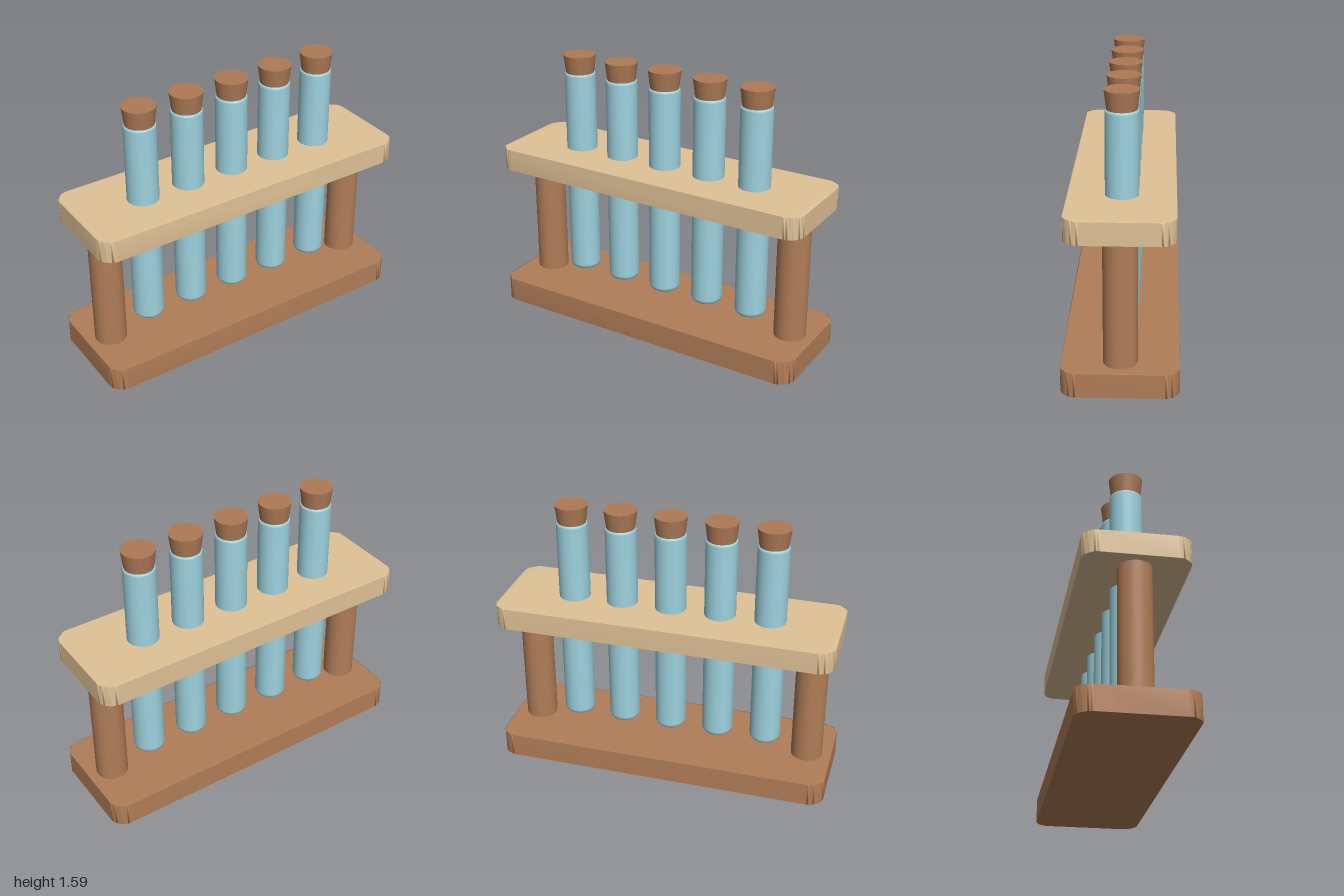
import * as THREE from 'three';
import { mergeVertices } from 'three/addons/utils/BufferGeometryUtils.js';

// Share vertices so that shading flows softly around every edge.
function soften(geometry) {
  geometry.deleteAttribute('normal');
  geometry.deleteAttribute('uv');
  const merged = mergeVertices(geometry, 1e-4);
  merged.computeVertexNormals();
  return merged;
}

// Flat board with rounded plan corners, standing on y = 0.
function boardGeometry(width, depth, height, radius) {
  const x = width / 2, z = depth / 2, r = radius;
  const plan = new THREE.Shape();
  plan.absarc(x - r, z - r, r, 0, Math.PI / 2);
  plan.absarc(-x + r, z - r, r, Math.PI / 2, Math.PI);
  plan.absarc(-x + r, -z + r, r, Math.PI, Math.PI * 1.5);
  plan.absarc(x - r, -z + r, r, Math.PI * 1.5, Math.PI * 2);
  const geometry = new THREE.ExtrudeGeometry(plan, { depth: height, bevelEnabled: false, curveSegments: 8 });
  geometry.rotateX(-Math.PI / 2);
  return soften(geometry);
}

export function createModel() {
  const wood = new THREE.MeshStandardMaterial({ name: 'brown wood', color: 0xb17e58 });
  const paleWood = new THREE.MeshStandardMaterial({ name: 'pale wood', color: 0xe0c297 });
  const glass = new THREE.MeshStandardMaterial({ name: 'blue glass', color: 0x9dd2de });
  const cork = new THREE.MeshStandardMaterial({ name: 'cork', color: 0xad7a56 });

  const rack = new THREE.Group();
  rack.name = 'testTubeRack';
  const add = (name, geometry, material, x, y) => {
    const mesh = new THREE.Mesh(geometry, material);
    mesh.name = name;
    mesh.position.set(x, y, 0);
    rack.add(mesh);
  };

  // Base, shelf and the two posts between them
  add('base', boardGeometry(2, 0.645, 0.143, 0.09), wood, 0, 0);
  add('shelf', boardGeometry(2, 0.59, 0.13, 0.09), paleWood, 0, 0.88);
  const post = new THREE.CylinderGeometry(0.094, 0.094, 0.76, 32);
  for (const side of [-1, 1]) add(side > 0 ? 'leftPost' : 'rightPost', post, wood, side * 0.85, 0.515);

  // Tube profile with a small rounded foot and a slightly eased rim
  const profile = [[0, 0.21], [0.066, 0.21], [0.079, 0.214], [0.088, 0.224], [0.092, 0.24],
    [0.092, 1.468], [0.089, 1.479], [0.08, 1.484], [0, 1.484]].map(([r, y]) => new THREE.Vector2(r, y));
  const tube = new THREE.LatheGeometry(profile, 32);
  const stopper = new THREE.CylinderGeometry(0.096, 0.08, 0.13, 32);

  for (let i = 0; i < 5; i++) {
    const x = (i - 2) * 0.295;
    add('tube' + (i + 1), tube, glass, x, 0);
    add('stopper' + (i + 1), stopper, cork, x, 1.525);
  }
  return rack;
}
